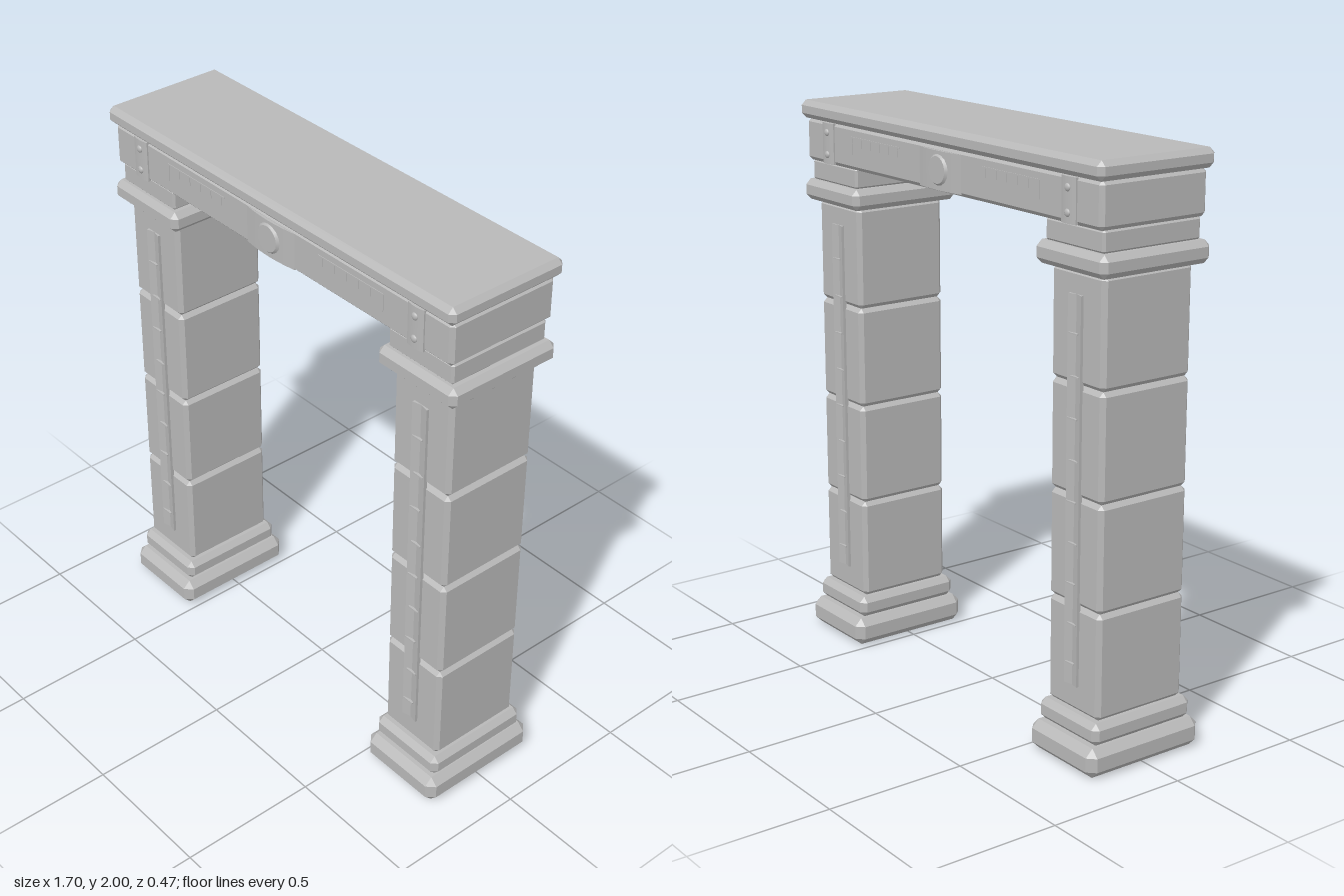
import * as THREE from 'three';
import { ConvexGeometry } from 'three/addons/geometries/ConvexGeometry.js';

const stone = new THREE.MeshStandardMaterial({ color: 0xb8b8b8 });
stone.name = 'grey stone';

function add(parent, name, geometry, x = 0, y = 0, z = 0) {
  const mesh = new THREE.Mesh(geometry, stone);
  mesh.name = name;
  mesh.position.set(x, y, z);
  parent.add(mesh);
  return mesh;
}

// Box with every edge and corner chamfered by c
function chamferBox(w, h, d, c) {
  const half = [w / 2, h / 2, d / 2];
  const points = [];
  for (const sx of [-1, 1]) for (const sy of [-1, 1]) for (const sz of [-1, 1]) {
    for (let full = 0; full < 3; full++) {
      const p = half.map((v, i) => (i === full ? v : v - c));
      points.push(new THREE.Vector3(p[0] * sx, p[1] * sy, p[2] * sz));
    }
  }
  return new ConvexGeometry(points);
}

// Chamfered block given by its bottom and top heights
function block(parent, name, w, y0, y1, d, c, x = 0) {
  return add(parent, name, chamferBox(w, y1 - y0, d, c), x, (y0 + y1) / 2, 0);
}

// Plate with a gently bowed front, standing on z = 0
function bowedPlate(w, h, edge, bulge) {
  const s = new THREE.Shape();
  s.moveTo(-w / 2, 0);
  s.lineTo(w / 2, 0);
  s.lineTo(w / 2, -edge);
  s.quadraticCurveTo(0, -edge - 2 * bulge, -w / 2, -edge);
  s.closePath();
  const g = new THREE.ExtrudeGeometry(s, { depth: h, bevelEnabled: false, curveSegments: 10 });
  g.rotateX(-Math.PI / 2);
  g.translate(0, -h / 2, 0);
  return g;
}

// Shallow V-shaped channel: raised rims, sunken middle
function channel(w, h, rim, middle) {
  const s = new THREE.Shape();
  s.moveTo(-w / 2, 0);
  s.lineTo(w / 2, 0);
  s.lineTo(w / 2, -rim);
  s.lineTo(0, -middle);
  s.lineTo(-w / 2, -rim);
  s.closePath();
  const g = new THREE.ExtrudeGeometry(s, { depth: h, bevelEnabled: false });
  g.rotateX(-Math.PI / 2);
  g.translate(0, -h / 2, 0);
  return g;
}

function makePillar(x) {
  const pillar = new THREE.Group();
  pillar.name = 'pillar';
  pillar.position.x = x;
  block(pillar, 'plinth', 0.335, 0, 0.103, 0.47, 0.027);
  block(pillar, 'baseMoulding', 0.3, 0.103, 0.18, 0.412, 0.02);
  for (let i = 0; i < 4; i++) {
    const y = 0.18 + i * 0.3655;
    block(pillar, 'shaftBlock', 0.26, y, y + 0.3655, 0.36, 0.015);
  }
  block(pillar, 'capital', 0.344, 1.64, 1.715, 0.44, 0.02);
  block(pillar, 'neck', 0.284, 1.713, 1.787, 0.39, 0.008);
  return pillar;
}

// Ornaments for one face of the gate
function makeOrnaments() {
  const face = new THREE.Group();
  face.name = 'faceOrnaments';
  for (const side of [-1, 1]) {
    const x = side * 0.68;
    // Long inlay with small cross ticks
    add(face, 'shaftChannel', channel(0.064, 1.295, 0.014, 0.006), x, 0.918, 0.176);
    for (let i = 0; i < 9; i++) {
      add(face, 'channelTick', new THREE.BoxGeometry(0.044, 0.005, 0.01),
        x + (i % 2 ? 0.004 : -0.006), 0.345 + i * 0.137, 0.187);
    }
    // Riveted clamp
    add(face, 'clampPlate', bowedPlate(0.07, 0.145, 0.009, 0.005), x, 1.861, 0.208);
    for (const y of [1.9, 1.822]) {
      const rivet = add(face, 'rivet', new THREE.SphereGeometry(0.013, 12, 8), x, y, 0.221);
      rivet.scale.z = 0.6;
    }
    // Engraved scale with hanging ticks
    add(face, 'scaleLine', new THREE.BoxGeometry(0.3, 0.005, 0.006), side * 0.383, 1.9, 0.211);
    for (let i = 0; i < 6; i++) {
      const len = i === 0 ? 0.06 : 0.032;
      add(face, 'scaleTick', new THREE.BoxGeometry(0.005, len, 0.006),
        side * (0.53 - i * 0.056), 1.9 - len / 2, 0.211);
    }
  }
  // Central plaque and boss
  add(face, 'plaque', bowedPlate(0.236, 0.13, 0.004, 0.01), 0, 1.858, 0.208);
  const boss = add(face, 'boss', new THREE.CylinderGeometry(0.046, 0.058, 0.012, 16), 0, 1.86, 0.222);
  boss.rotation.x = Math.PI / 2;
  return face;
}

export function createModel() {
  const gate = new THREE.Group();
  gate.name = 'stoneGate';
  for (const side of [-1, 1]) gate.add(makePillar(side * 0.68));

  // Lintel and cap slab
  block(gate, 'lintel', 1.66, 1.785, 1.938, 0.424, 0.014);
  block(gate, 'capSlab', 1.694, 1.936, 2, 0.464, 0.018);

  // The same ornaments on front and back
  const front = makeOrnaments();
  const back = makeOrnaments();
  back.rotation.y = Math.PI;
  gate.add(front, back);
  return gate;
}
